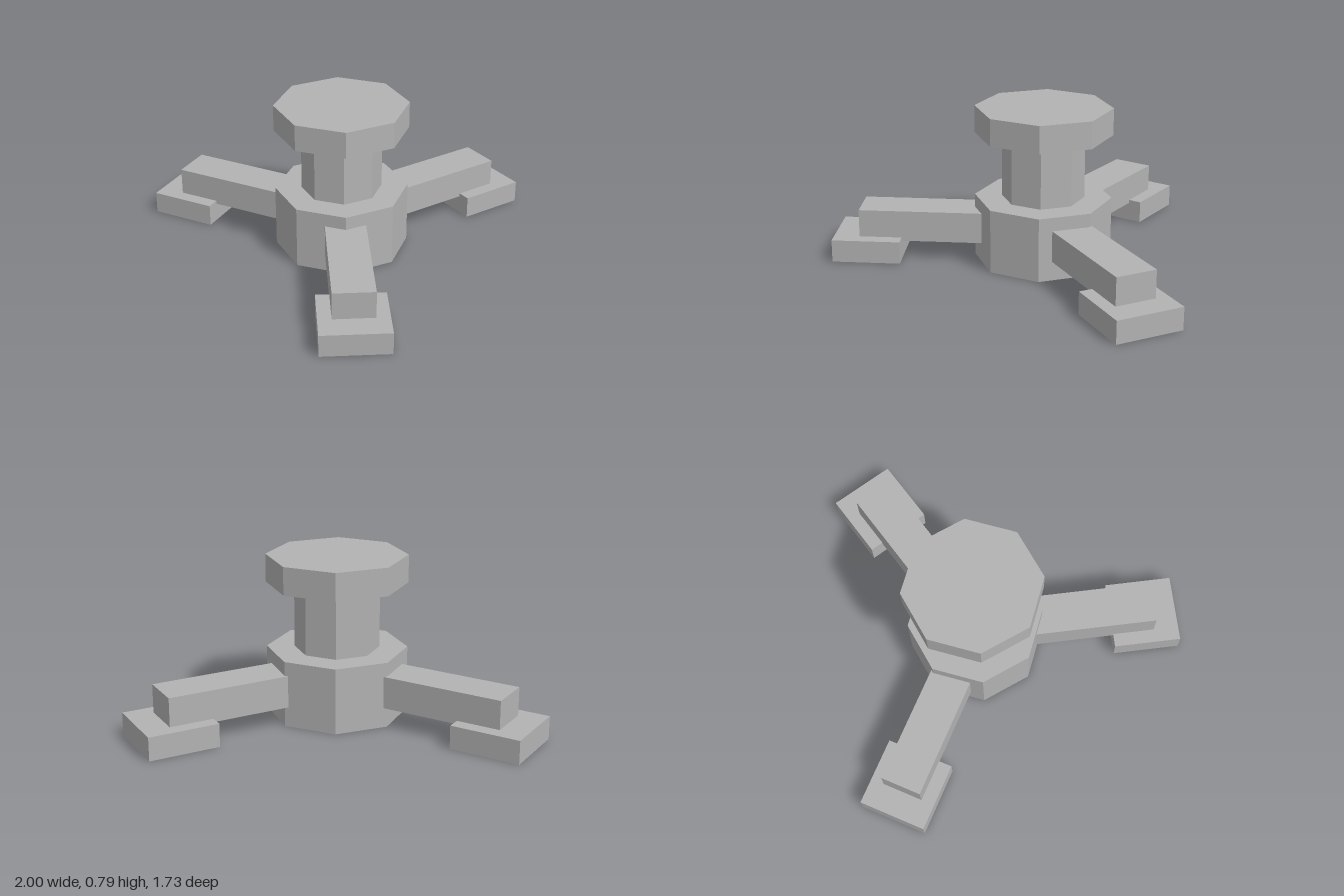
import * as THREE from 'three';

export function createModel() {
  const model = new THREE.Group();
  const grey = new THREE.MeshStandardMaterial({ color: 0xb3b3b3 });
  grey.name = 'grey';

  const add = (parent, name, geometry, y, z = 0) => {
    // flat facets without shared normals
    const flat = geometry.toNonIndexed();
    flat.computeVertexNormals();
    const mesh = new THREE.Mesh(flat, grey);
    mesh.name = name;
    mesh.position.set(0, y, z);
    parent.add(mesh);
  };

  // Octagonal column, one corner pointing to the front
  const column = new THREE.Group();
  column.name = 'column';
  column.position.z = -0.19;
  model.add(column);
  const octagon = (name, radius, y0, y1) =>
    add(column, name, new THREE.CylinderGeometry(radius, radius, y1 - y0, 8), (y0 + y1) / 2);
  octagon('hub', 0.345, 0, 0.325);
  octagon('neck', 0.208, 0.325, 0.652);
  octagon('cap', 0.345, 0.652, 0.79);

  // Three legs, each an arm resting on a square foot
  for (let i = 0; i < 3; i++) {
    const leg = new THREE.Group();
    leg.name = ['frontLeg', 'backLeftLeg', 'backRightLeg'][i];
    leg.position.z = -0.19;
    leg.rotation.y = (i * Math.PI * 2) / 3;
    add(leg, 'arm', new THREE.BoxGeometry(0.208, 0.158, 0.725), 0.177, 0.5625);
    add(leg, 'foot', new THREE.BoxGeometry(0.345, 0.115, 0.345), 0.0575, 0.8825);
    model.add(leg);
  }
  return model;
}
